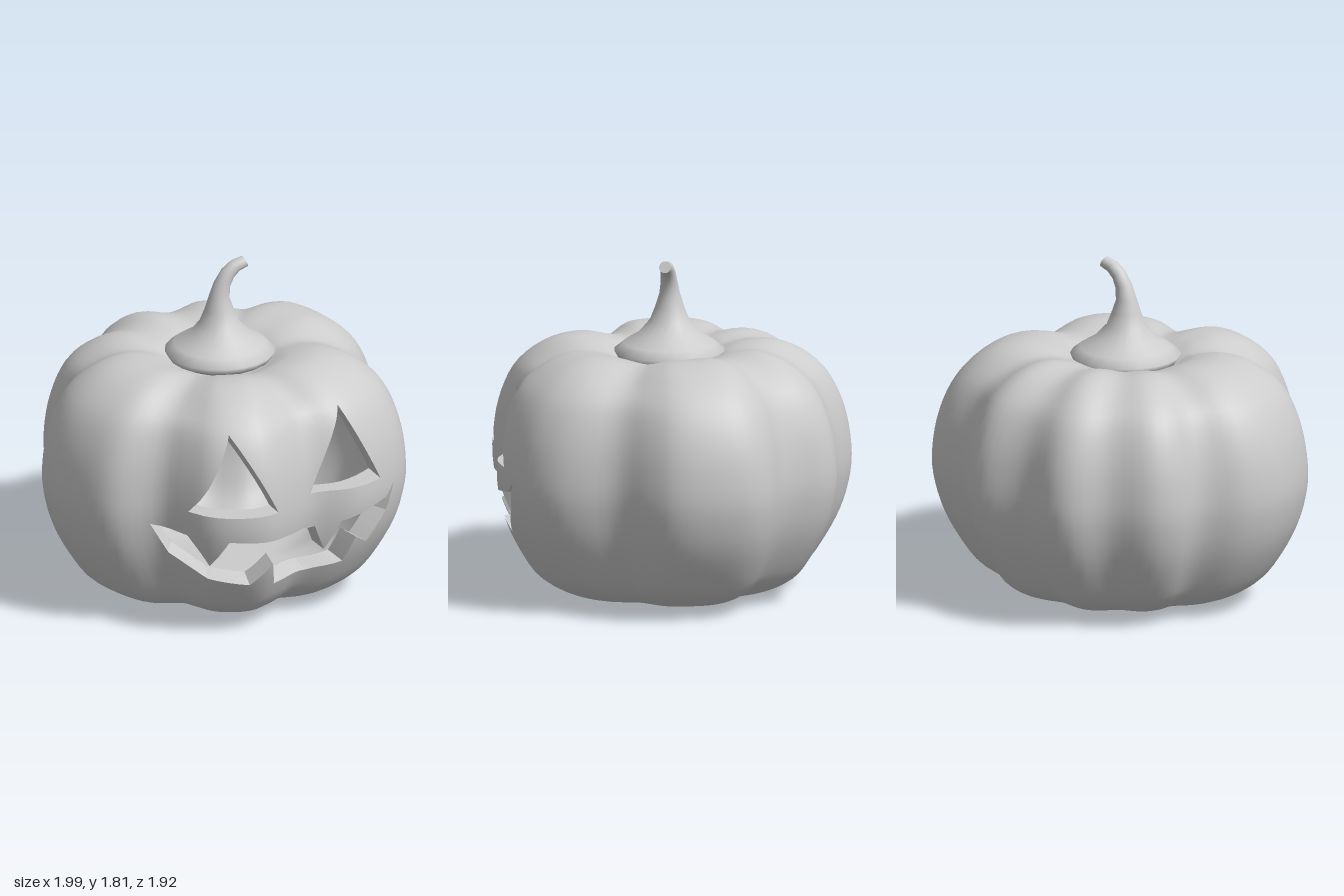
import * as THREE from 'three';

const V2 = (a) => a.map(([x, y]) => new THREE.Vector2(x, y));
const grey = () => new THREE.MeshStandardMaterial({ color: 0xcccccc, side: THREE.DoubleSide });
const COLS = 120, ROWS = 56;

// Widest outline of the ribbed body as [x, z], from the front round by +x
const outline = [
  [0.16, 0.81], [0.4, 0.84], [0.6, 0.765], [0.79, 0.615], [0.87, 0.455], [0.88, 0.33], [0.865, 0.12],
  [0.95, -0.07], [0.99, -0.21], [0.95, -0.43], [0.855, -0.615], [0.74, -0.69], [0.55, -0.735], [0.47, -0.8],
  [0.35, -0.925], [0.25, -0.963], [0, -0.92], [-0.25, -0.963], [-0.35, -0.925], [-0.48, -0.785],
  [-0.695, -0.68], [-0.77, -0.57], [-0.8, -0.385], [-0.95, -0.2], [-1, 0], [-0.96, 0.24], [-0.855, 0.444],
  [-0.615, 0.56], [-0.535, 0.695], [-0.45, 0.84], [-0.32, 0.925], [-0.16, 0.957], [0, 0.893],
];
// Side profile as [relative radius, height], bottom to top
const profile = [
  [0.001, 0.01], [0.4, 0.01], [0.6, 0.05], [0.75, 0.13], [0.84, 0.24], [0.93, 0.4], [0.98, 0.55], [1, 0.71],
  [0.975, 0.92], [0.91, 1.1], [0.82, 1.22], [0.68, 1.315], [0.52, 1.35], [0.36, 1.32], [0.24, 1.26], [0.001, 1.24],
];
// Face cut-outs as [x, y]
const eyes = [
  [[-0.31, 1.175], [-0.52, 0.75], [-0.09, 0.75]],
  [[0.365, 1.2], [0.15, 0.77], [0.58, 0.77]],
].map(V2);
const mouth = V2([
  [-0.655, 0.63], [-0.564, 0.465], [-0.42, 0.358], [-0.217, 0.32], [-0.105, 0.444], [-0.06, 0.289],
  [0.17, 0.289], [0.37, 0.32], [0.425, 0.47], [0.51, 0.406], [0.634, 0.56], [0.687, 0.706], [0.63, 0.647],
  [0.33, 0.588], [0.25, 0.417], [0.185, 0.572], [-0.36, 0.61], [-0.43, 0.45], [-0.52, 0.61],
]);
// The mouth narrows towards the inside
const mouthInner = mouth.map((p) => new THREE.Vector2(0.03 + (p.x - 0.03) * 0.9, 0.6 + (p.y - 0.6) * 0.9));

// Grid of rows along the profile and columns round the outline, closed by index
function gridGeometry(cols, rows, at) {
  const pos = [], index = [];
  for (let j = 0; j <= rows; j++) for (let i = 0; i < cols; i++) pos.push(...at(i, j));
  for (let j = 0; j < rows; j++) for (let i = 0; i < cols; i++) {
    const n = (i + 1) % cols, a = j * cols + i, b = j * cols + n, c = b + cols, d = a + cols;
    index.push(a, b, c, a, c, d);
  }
  const g = new THREE.BufferGeometry();
  g.setAttribute('position', new THREE.Float32BufferAttribute(pos, 3));
  g.setIndex(index);
  g.computeVertexNormals();
  return g;
}

// Uncut ribbed skin; scale below 1 gives the inner one
function skinGeometry(scale) {
  const ring = new THREE.CatmullRomCurve3(outline.map(([x, z]) => new THREE.Vector3(x, 0, z)), true)
    .getSpacedPoints(COLS);
  const side = new THREE.SplineCurve(V2(profile)).getSpacedPoints(ROWS);
  return gridGeometry(COLS, ROWS, (i, j) => {
    const o = ring[i], { x: r, y } = side[j], len = o.length();
    const rib = THREE.MathUtils.smoothstep(r, 0.1, 0.55);
    const k = r * scale * THREE.MathUtils.lerp(0.94 / len, 1, rib);
    const dip = 0.3 * (1 - len) * rib * THREE.MathUtils.smoothstep(y, 1.15, 1.33);
    return [o.x * k, 0.66 + (y - dip - 0.66) * scale, o.z * k];
  });
}

// Removes a counter-clockwise triangle (seen from the front) from a convex polygon
function subtract(poly, tri) {
  const out = [];
  let rest = poly;
  for (let e = 0; e < 3 && rest.length; e++) {
    const a = tri[e], b = tri[(e + 1) % 3], inside = [], outside = [];
    const dist = (v) => (b.x - a.x) * (v[1] - a.y) - (b.y - a.y) * (v[0] - a.x);
    rest.forEach((p, i) => {
      const q = rest[(i + 1) % rest.length], dp = dist(p), dq = dist(q);
      (dp >= 0 ? inside : outside).push(p);
      if (dp >= 0 !== dq >= 0) {
        const m = p.map((c, k) => c + (q[k] - c) * (dp / (dp - dq)));
        inside.push(m);
        outside.push(m);
      }
    });
    if (outside.length > 2) out.push(outside);
    rest = inside;
  }
  return rest.length > 2 ? out : [poly];
}

// Skin with the cut-outs taken from its front; flip turns it to face inwards
function cutSkin(g, holes, flip) {
  const cutters = holes.flatMap((h) => THREE.ShapeUtils.triangulateShape(h, []).map((t) => {
    const tri = t.map((i) => h[i]);
    return THREE.ShapeUtils.isClockWise(tri) ? tri.reverse() : tri;
  }));
  const P = g.attributes.position, N = g.attributes.normal, pos = [], nor = [], s = flip ? -1 : 1;
  const vert = (i) => [P.getX(i), P.getY(i), P.getZ(i), N.getX(i), N.getY(i), N.getZ(i)];
  for (let t = 0; t < g.index.count; t += 3) {
    let polys = [[0, 1, 2].map((k) => vert(g.index.getX(t + k)))];
    if (polys[0].every((v) => v[2] > 0.3)) {
      for (const c of cutters) polys = polys.flatMap((p) => subtract(p, c));
    }
    for (const p of polys) for (let i = 1; i < p.length - 1; i++) {
      for (const v of flip ? [p[0], p[i + 1], p[i]] : [p[0], p[i], p[i + 1]]) {
        pos.push(v[0], v[1], v[2]);
        nor.push(v[3] * s, v[4] * s, v[5] * s);
      }
    }
  }
  const out = new THREE.BufferGeometry();
  out.setAttribute('position', new THREE.Float32BufferAttribute(pos, 3));
  out.setAttribute('normal', new THREE.Float32BufferAttribute(nor, 3));
  return out;
}

// Rim joining a cut-out in the outer skin to the one in the inner skin
function rimGeometry(outerMesh, innerMesh, outer, inner) {
  const ray = new THREE.Raycaster(), back = new THREE.Vector3(0, 0, -1), pos = [], STEPS = 8;
  const onSkin = (mesh, p) => {
    ray.set(new THREE.Vector3(p.x, p.y, 3), back);
    const hit = ray.intersectObject(mesh)[0];
    return hit ? hit.point.toArray() : [p.x, p.y, 0.6];
  };
  outer.forEach((p, i) => {
    const n = (i + 1) % outer.length, line = [];
    for (let k = 0; k <= STEPS; k++) {
      line.push([
        onSkin(outerMesh, p.clone().lerp(outer[n], k / STEPS)),
        onSkin(innerMesh, inner[i].clone().lerp(inner[n], k / STEPS)),
      ]);
    }
    for (let k = 0; k < STEPS; k++) {
      const [a, d] = line[k], [b, c] = line[k + 1];
      pos.push(...a, ...b, ...c, ...a, ...c, ...d);
    }
  });
  const g = new THREE.BufferGeometry();
  g.setAttribute('position', new THREE.Float32BufferAttribute(pos, 3));
  g.computeVertexNormals();
  return g;
}

// Flared, bent stem: [x, y, radius, tilt] per ring, with closed ends
function stemGeometry() {
  const rings = [
    [0.01, 1.25, 0.001, 0], [0.01, 1.25, 0.23, 0], [0.01, 1.275, 0.275, 0], [0.01, 1.31, 0.295, 0],
    [0.01, 1.35, 0.245, 0], [0.01, 1.4, 0.165, 0], [0.005, 1.47, 0.105, 0], [0.005, 1.54, 0.078, 0],
    [0.005, 1.61, 0.056, 0.1], [0.022, 1.68, 0.045, 0.3], [0.055, 1.737, 0.04, 0.65],
    [0.1, 1.774, 0.036, 1.0], [0.155, 1.79, 0.032, 1.15],
  ];
  return gridGeometry(20, rings.length - 1, (i, j) => {
    const [x, y, r, tilt] = rings[j], a = (i / 20) * Math.PI * 2, c = Math.sin(a) * r;
    return [x + c * Math.cos(tilt), y - c * Math.sin(tilt), -0.025 + Math.cos(a) * r];
  });
}

export function createModel() {
  const group = new THREE.Group();
  const add = (name, geometry) => {
    const m = new THREE.Mesh(geometry, grey());
    m.name = name;
    group.add(m);
  };
  const outer = new THREE.Mesh(skinGeometry(1), grey()), inner = new THREE.Mesh(skinGeometry(0.87), grey());

  add('outerSkin', cutSkin(outer.geometry, [...eyes, mouth], false));
  add('innerSkin', cutSkin(inner.geometry, [...eyes, mouthInner], true));
  eyes.forEach((e, i) => add(i ? 'leftEyeRim' : 'rightEyeRim', rimGeometry(outer, inner, e, e)));
  add('mouthRim', rimGeometry(outer, inner, mouth, mouthInner));

  add('stem', stemGeometry());
  const tip = new THREE.CircleGeometry(0.032, 20).rotateX(-Math.PI / 2).rotateZ(-1.15);
  add('stemTip', tip.translate(0.155, 1.79, -0.025));
  return group;
}
